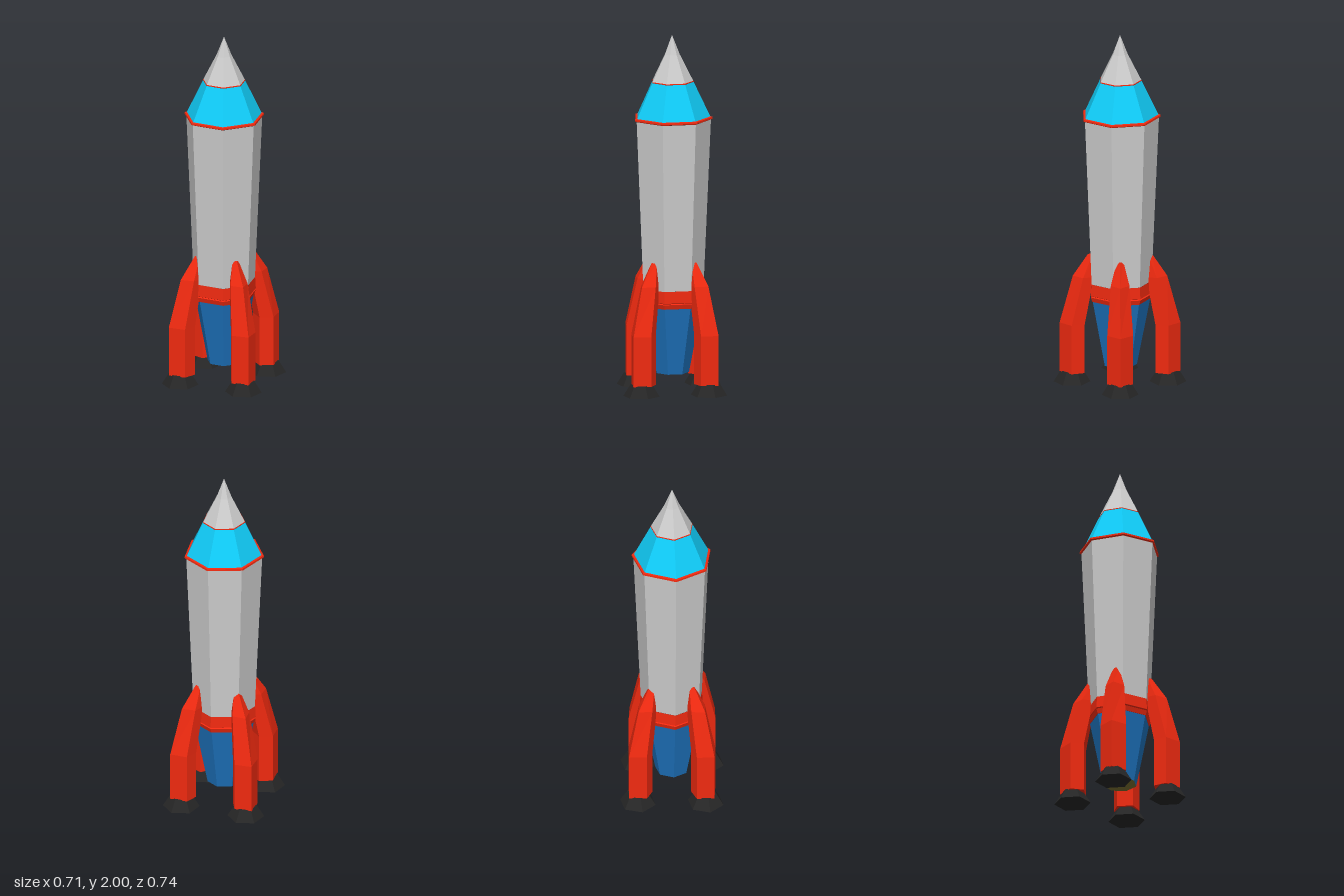
import * as THREE from 'three';

const RED = 0xf02a10, CYAN = 0x10ccf8, BLUE = 0x1d72bc, DARK = 0x262626, OLIVE = 0x7a7030;

const material = (color) => new THREE.MeshStandardMaterial({ color, flatShading: true });

function part(name, geometry, color) {
  const mesh = new THREE.Mesh(geometry, material(color));
  mesh.name = name;
  return mesh;
}

// Seven-sided shell turned from a [radius, y] profile, listed bottom to top, one corner at the back
function shell(name, color, profile) {
  const points = profile.map(([r, y]) => new THREE.Vector2(r, y));
  const geometry = new THREE.LatheGeometry(points, 7, Math.PI).toNonIndexed();
  geometry.computeVertexNormals();
  return part(name, geometry, color);
}

// Five-sided leg reaching along +x, lofted through sections
function legGeometry() {
  // [y, outer x, middle x, inner x, middle half width, inner half width]
  const sections = [
    [0.06, 0.335, 0.268, 0.196, 0.072, 0.045],
    [0.34, 0.335, 0.268, 0.196, 0.072, 0.045],
    [0.61, 0.262, 0.205, 0.145, 0.052, 0.03],
    [0.735, 0.178, 0.155, 0.13, 0.018, 0.01],
  ];
  const rings = sections.map(([y, out, mid, inn, w, wi]) =>
    [[out, y, 0], [mid, y, w], [inn, y, wi], [inn, y, -wi], [mid, y, -w]]);
  const pos = [];
  const tri = (a, b, c) => pos.push(...a, ...b, ...c);
  for (let s = 0; s < rings.length - 1; s++) {
    const lo = rings[s], hi = rings[s + 1];
    for (let i = 0; i < 5; i++) {
      const j = (i + 1) % 5;
      tri(lo[i], hi[i], lo[j]);
      tri(lo[j], hi[i], hi[j]);
    }
  }
  const bottom = rings[0], top = rings[rings.length - 1];
  for (let i = 1; i < 4; i++) {
    tri(bottom[0], bottom[i], bottom[i + 1]);
    tri(top[0], top[i + 1], top[i]);
  }
  const geometry = new THREE.BufferGeometry();
  geometry.setAttribute('position', new THREE.Float32BufferAttribute(pos, 3));
  geometry.computeVertexNormals();
  return geometry;
}

export function createModel() {
  const rocket = new THREE.Group();
  rocket.name = 'rocket';

  // Fuselage, from the engine up to the tip
  rocket.add(
    shell('engineOpening', OLIVE, [[0, 0.1], [0.094, 0.1]]),
    shell('engineNozzle', BLUE, [[0.094, 0.1], [0.168, 0.48]]),
    shell('lowerCollar', RED, [[0.16, 0.478], [0.171, 0.48], [0.18, 0.506], [0.172, 0.51]]),
    shell('upperCollar', RED, [[0.172, 0.51], [0.18, 0.514], [0.176, 0.58]]),
    shell('body', 0xcccccc, [[0.175, 0.58], [0.216, 1.523]]),
    shell('shoulderRing', RED, [[0.214, 1.523], [0.226, 1.528], [0.225, 1.538], [0.211, 1.541]]),
    shell('noseBand', CYAN, [[0.213, 1.54], [0.12, 1.735]]),
    shell('noseRing', RED, [[0.12, 1.735], [0.121, 1.738], [0.117, 1.742]]),
    shell('noseTip', 0xcccccc, [[0.118, 1.741], [0.043, 1.89], [0, 2]]),
  );

  // Four legs, each on a hexagonal foot
  const leg = legGeometry();
  const foot = new THREE.CylinderGeometry(0.062, 0.102, 0.065, 6);
  for (let k = 0; k < 4; k++) {
    const angle = k * Math.PI / 2;
    const legMesh = part('leg', leg, RED);
    legMesh.rotation.y = angle;
    const footMesh = part('foot', foot, DARK);
    footMesh.position.set(Math.cos(angle) * 0.266, 0.0325, -Math.sin(angle) * 0.266);
    rocket.add(legMesh, footMesh);
  }
  return rocket;
}
